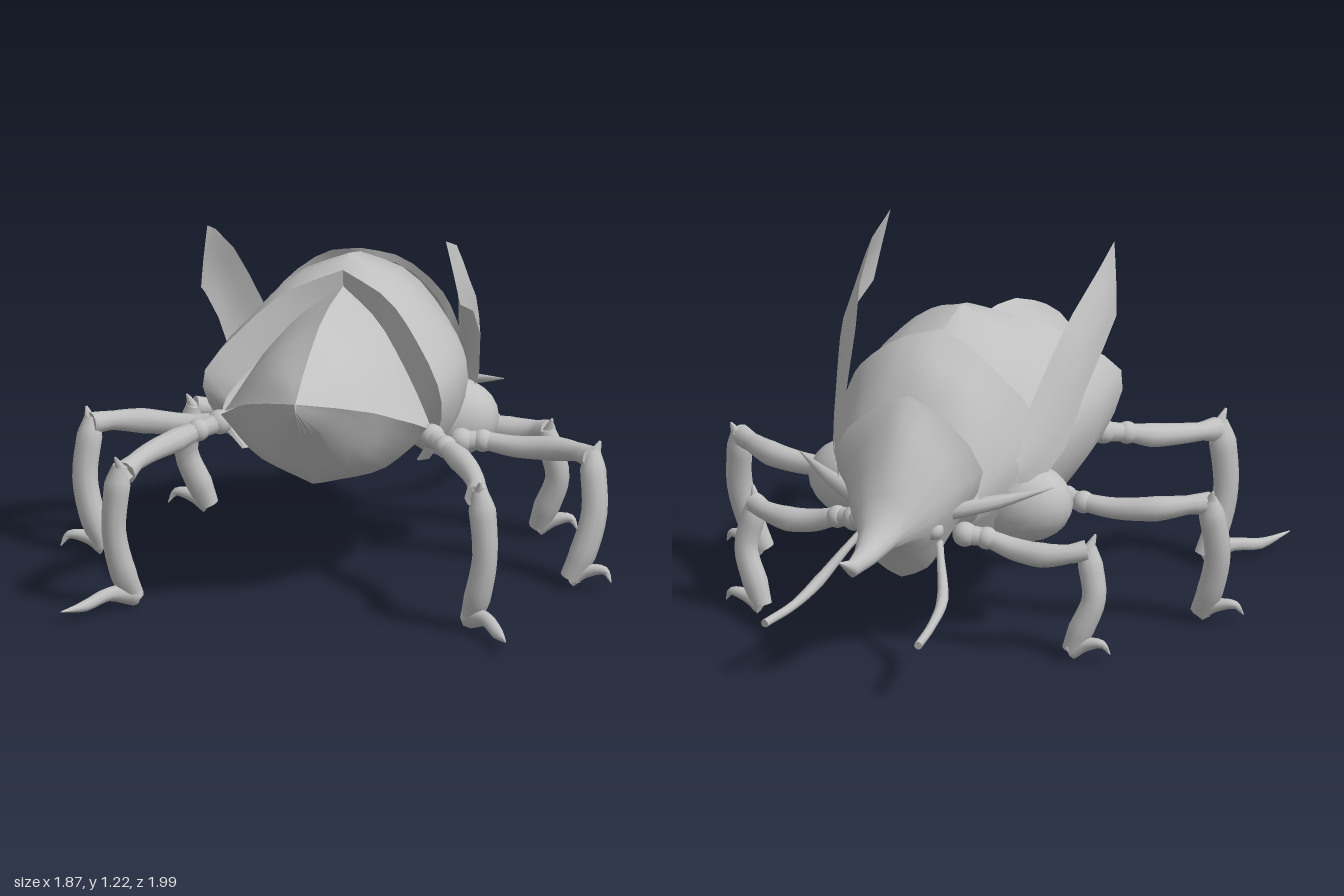
import * as THREE from 'three';
import { toCreasedNormals } from 'three/addons/utils/BufferGeometryUtils.js';

const V = (p) => new THREE.Vector3(p[0], p[1], p[2]);
const shellGrey = new THREE.MeshStandardMaterial({ color: 0xc0c0c0, side: THREE.DoubleSide });
shellGrey.name = 'shell grey';

// Smoothly resample a list of points
function spline(pts, n) {
  return new THREE.CatmullRomCurve3(pts, false, 'centripetal').getPoints(n);
}

// Skin a list of equally long rows of points
function skin(name, rows, crease = 0.7) {
  const w = rows[0].length, pos = [], idx = [];
  rows.forEach((r) => r.forEach((p) => pos.push(p.x, p.y, p.z)));
  for (let i = 0; i < rows.length - 1; i++) {
    for (let j = 0; j < w - 1; j++) {
      const a = i * w + j, b = a + 1, c = a + w, d = c + 1;
      idx.push(a, c, b, b, c, d);
    }
  }
  const g = new THREE.BufferGeometry();
  g.setAttribute('position', new THREE.Float32BufferAttribute(pos, 3));
  g.setIndex(idx);
  const mesh = new THREE.Mesh(toCreasedNormals(g, crease), shellGrey);
  mesh.name = name;
  return mesh;
}

// Half sections [x, y, z] from the ridge outwards, mirrored across x = 0
function mirroredLoft(name, rows, across = 8) {
  return skin(name, rows.map((row) => {
    const half = spline(row.map(V), across);
    const other = half.slice(1).reverse().map((p) => new THREE.Vector3(-p.x, p.y, p.z));
    return [...other, ...half];
  }));
}

// Add one z to a flat section
const at = (z, ...pts) => pts.map(([x, y]) => [x, y, z]);

// Tapering limb through points [x, y, z, radius]
function limb(name, pts, sides = 10, steps = 4) {
  const curve = new THREE.CatmullRomCurve3(pts.map(V), false, 'centripetal');
  const n = (pts.length - 1) * steps, rows = [];
  const side = new THREE.Vector3(0.31, 0.52, 0.79);
  const addRing = (p, r, u, v) => {
    const ring = [];
    for (let j = 0; j <= sides; j++) {
      const a = (j / sides) * Math.PI * 2;
      ring.push(p.clone().addScaledVector(u, Math.cos(a) * r).addScaledVector(v, Math.sin(a) * r));
    }
    rows.push(ring);
  };
  for (let i = 0; i <= n; i++) {
    const t = i / n, k = Math.min(Math.floor(i / steps), pts.length - 2), f = i / steps - k;
    const r = THREE.MathUtils.lerp(pts[k][3], pts[k + 1][3], f);
    const tan = curve.getTangent(t);
    side.addScaledVector(tan, -side.dot(tan)).normalize();
    const up = new THREE.Vector3().crossVectors(tan, side), p = curve.getPoint(t);
    if (i === 0) addRing(p, 0, side, up);
    addRing(p, r, side, up);
    if (i === n) addRing(p, 0, side, up);
  }
  return skin(name, rows, 0.9);
}

function ball(name, [x, y, z], rx, ry = rx, rz = rx) {
  const m = new THREE.Mesh(new THREE.SphereGeometry(1, 18, 12), shellGrey);
  m.position.set(x, y, z);
  m.scale.set(rx, ry, rz);
  m.name = name;
  return m;
}

// Thigh, shin, knee spur and hooked claw of one leg
function leg(name, thigh, shin, spur, claw) {
  const g = new THREE.Group();
  g.name = name;
  g.add(limb('thigh', thigh), limb('shin', shin), limb('kneeSpur', spur, 8), limb('claw', claw, 8));
  g.add(ball('hipJoint', thigh[0], 0.042), ball('thighJoint', thigh[1], 0.038));
  return g;
}

export function createModel() {
  const model = new THREE.Group();
  model.name = 'beetle';

  // Abdomen: ridged back and belly meeting in a sharp side crease
  model.add(mirroredLoft('abdomenBack', [
    at(0.805, [0, 0.775], [0.002, 0.774], [0.004, 0.772]),
    at(0.7, [0, 0.835], [0.06, 0.80], [0.125, 0.735]),
    at(0.6, [0, 0.88], [0.12, 0.81], [0.22, 0.695]),
    at(0.45, [0, 0.935], [0.17, 0.82], [0.32, 0.62]),
    at(0.3, [0, 0.96], [0.2, 0.80], [0.37, 0.55]),
    at(0, [0, 0.97], [0.21, 0.81], [0.37, 0.54]),
    at(-0.3, [0, 0.88], [0.17, 0.76], [0.27, 0.5]),
    at(-0.45, [0, 0.70], [0.12, 0.63], [0.18, 0.48]),
  ]));
  model.add(mirroredLoft('belly', [
    at(0.805, [0, 0.74], [0.002, 0.755], [0.004, 0.772]),
    at(0.7, [0, 0.62], [0.07, 0.665], [0.125, 0.735]),
    at(0.6, [0, 0.485], [0.125, 0.55], [0.22, 0.695]),
    at(0.55, [0, 0.42], [0.16, 0.50], [0.255, 0.67]),
    at(0.38, [0, 0.373], [0.21, 0.44], [0.35, 0.585]),
    at(0, [0, 0.37], [0.22, 0.415], [0.37, 0.54]),
    at(-0.3, [0, 0.36], [0.18, 0.39], [0.27, 0.5]),
    at(-0.45, [0, 0.40], [0.12, 0.42], [0.18, 0.48]),
  ]));

  // Overlapping back plates, the rear one with a rim down to the abdomen
  model.add(mirroredLoft('backShell', [
    [[0, 0.965, 0.09], [0.13, 0.88, 0.16], [0.25, 0.745, 0.26], [0.34, 0.63, 0.36], [0.35, 0.55, 0.32], [0.29, 0.44, 0.27]],
    [[0, 1.025, 0.1], [0.17, 0.965, 0.19], [0.29, 0.87, 0.3], [0.4, 0.735, 0.42], [0.385, 0.58, 0.34], [0.3, 0.44, 0.28]],
    [[0, 1.045, 0.05], [0.17, 0.98, 0.08], [0.30, 0.86, 0.14], [0.41, 0.715, 0.2], [0.39, 0.54, 0.17], [0.30, 0.40, 0.13]],
    at(0, [0, 1.055], [0.17, 0.98], [0.31, 0.84], [0.40, 0.70], [0.38, 0.54], [0.29, 0.39]),
    at(-0.2, [0, 1.0], [0.16, 0.94], [0.28, 0.80], [0.345, 0.67], [0.335, 0.53], [0.26, 0.38]),
    at(-0.4, [0, 0.82], [0.12, 0.77], [0.2, 0.67], [0.25, 0.58], [0.24, 0.48], [0.17, 0.39]),
  ], 12));
  model.add(mirroredLoft('neckShell', [
    [[0, 0.99, -0.175], [0.13, 0.955, -0.215], [0.25, 0.85, -0.215], [0.305, 0.77, -0.18], [0.335, 0.65, -0.23], [0.32, 0.55, -0.27]],
    [[0, 1.02, -0.17], [0.13, 0.985, -0.21], [0.265, 0.88, -0.21], [0.325, 0.79, -0.175], [0.355, 0.65, -0.22], [0.335, 0.55, -0.27]],
    at(-0.3, [0, 0.96], [0.13, 0.915], [0.24, 0.81], [0.285, 0.72], [0.315, 0.62], [0.3, 0.53]),
    at(-0.37, [0, 0.89], [0.12, 0.855], [0.22, 0.76], [0.265, 0.67], [0.285, 0.58], [0.275, 0.51]),
    at(-0.43, [0, 0.78], [0.1, 0.76], [0.2, 0.69], [0.24, 0.61], [0.255, 0.55], [0.245, 0.49]),
  ], 12));

  // Head with raised crest, chin and long nose horn
  model.add(mirroredLoft('headAndHorn', [
    at(-0.415, [0, 0.60], [0.05, 0.60], [0.1, 0.58], [0.1, 0.5], [0.05, 0.45], [0, 0.44]),
    at(-0.43, [0, 0.87], [0.14, 0.80], [0.27, 0.64], [0.2, 0.49], [0.1, 0.41], [0, 0.37]),
    at(-0.455, [0, 0.84], [0.12, 0.77], [0.235, 0.61], [0.18, 0.47], [0.1, 0.31], [0, 0.255]),
    at(-0.49, [0, 0.80], [0.1, 0.74], [0.2, 0.59], [0.17, 0.46], [0.095, 0.3], [0, 0.255]),
    at(-0.56, [0, 0.71], [0.08, 0.66], [0.15, 0.55], [0.14, 0.44], [0.07, 0.355], [0, 0.32]),
    at(-0.62, [0, 0.58], [0.06, 0.56], [0.105, 0.5], [0.1, 0.44], [0.05, 0.4], [0, 0.385]),
    at(-0.68, [0, 0.50], [0.04, 0.49], [0.07, 0.46], [0.06, 0.425], [0.03, 0.41], [0, 0.4]),
    at(-0.78, [0, 0.455], [0.025, 0.45], [0.042, 0.425], [0.036, 0.40], [0.02, 0.388], [0, 0.383]),
    at(-0.89, [0, 0.44], [0.013, 0.435], [0.022, 0.415], [0.02, 0.395], [0.01, 0.383], [0, 0.378]),
    at(-1, [0, 0.466], [0.001, 0.465], [0.002, 0.464], [0.002, 0.463], [0.001, 0.462], [0, 0.461]),
  ], 10));

  // Parts that come in pairs
  const left = new THREE.Group();
  left.name = 'leftParts';

  // Raised wing case, bowed outwards
  left.add(skin('wingCase', [
    [[0.405, 1.225, 0.34], [0.425, 1.1, 0.31], [0.44, 0.99, 0.28]],
    [[0.41, 1.17, 0.2], [0.445, 1.05, 0.17], [0.455, 0.93, 0.15]],
    [[0.385, 1.06, 0.04], [0.435, 0.94, 0.02], [0.445, 0.80, 0]],
    [[0.355, 0.94, -0.06], [0.405, 0.81, -0.07], [0.42, 0.64, -0.09]],
    [[0.33, 0.80, -0.18], [0.375, 0.69, -0.18], [0.38, 0.555, -0.19]],
    [[0.31, 0.665, -0.275], [0.335, 0.61, -0.28], [0.33, 0.56, -0.28]],
  ].map((r) => spline(r.map(V), 4))));

  left.add(ball('shoulder', [0.3, 0.46, -0.165], 0.17, 0.135, 0.13));
  left.add(ball('eye', [0.135, 0.45, -0.53], 0.034));
  left.add(limb('cheekSpike', [[0.17, 0.505, -0.465, 0.035], [0.3, 0.525, -0.385, 0.025], [0.46, 0.565, -0.28, 0.002]], 8));
  left.add(limb('antenna', [
    [0.12, 0.42, -0.46, 0.015], [0.165, 0.36, -0.54, 0.013], [0.225, 0.26, -0.66, 0.02],
    [0.25, 0.22, -0.8, 0.015], [0.278, 0.207, -0.98, 0.014],
  ], 8));

  left.add(leg('hindLeg',
    [[0.36, 0.55, 0.35, 0.035], [0.42, 0.535, 0.41, 0.03], [0.48, 0.515, 0.47, 0.041], [0.54, 0.5, 0.56, 0.036], [0.58, 0.485, 0.65, 0.031], [0.6, 0.47, 0.73, 0.042]],
    [[0.61, 0.5, 0.74, 0.025], [0.62, 0.43, 0.74, 0.046], [0.63, 0.27, 0.745, 0.042], [0.60, 0.12, 0.73, 0.045], [0.57, 0.035, 0.7, 0.034]],
    [[0.6, 0.46, 0.73, 0.035], [0.62, 0.535, 0.77, 0.004]],
    [[0.57, 0.045, 0.7, 0.04], [0.64, 0.06, 0.77, 0.024], [0.7, 0.043, 0.86, 0.02], [0.755, 0.055, 0.985, 0.002]]));
  left.add(leg('middleLeg',
    [[0.38, 0.43, 0, 0.035], [0.45, 0.43, -0.015, 0.03], [0.56, 0.42, -0.005, 0.036], [0.7, 0.43, 0.02, 0.042], [0.79, 0.44, 0.07, 0.032], [0.85, 0.44, 0.12, 0.038]],
    [[0.85, 0.46, 0.105, 0.026], [0.855, 0.4, 0.12, 0.044], [0.865, 0.26, 0.145, 0.044], [0.83, 0.12, 0.165, 0.046], [0.79, 0.035, 0.175, 0.036]],
    [[0.85, 0.43, 0.11, 0.035], [0.873, 0.49, 0.09, 0.004]],
    [[0.79, 0.04, 0.175, 0.036], [0.84, 0.062, 0.175, 0.024], [0.91, 0.07, 0.185, 0.014], [0.935, 0.035, 0.2, 0.002]]));
  left.add(leg('frontLeg',
    [[0.2, 0.41, -0.42, 0.035], [0.27, 0.4, -0.4, 0.03], [0.36, 0.37, -0.385, 0.038], [0.46, 0.36, -0.38, 0.042], [0.55, 0.37, -0.36, 0.032], [0.6, 0.38, -0.33, 0.036]],
    [[0.6, 0.39, -0.315, 0.026], [0.61, 0.33, -0.32, 0.042], [0.63, 0.22, -0.335, 0.04], [0.59, 0.11, -0.35, 0.044], [0.56, 0.035, -0.36, 0.034]],
    [[0.6, 0.37, -0.32, 0.03], [0.62, 0.43, -0.3, 0.004]],
    [[0.56, 0.04, -0.36, 0.036], [0.61, 0.062, -0.36, 0.024], [0.67, 0.07, -0.36, 0.014], [0.695, 0.035, -0.35, 0.002]]));

  const right = left.clone();
  right.name = 'rightParts';
  right.scale.x = -1;
  model.add(left, right);
  return model;
}
